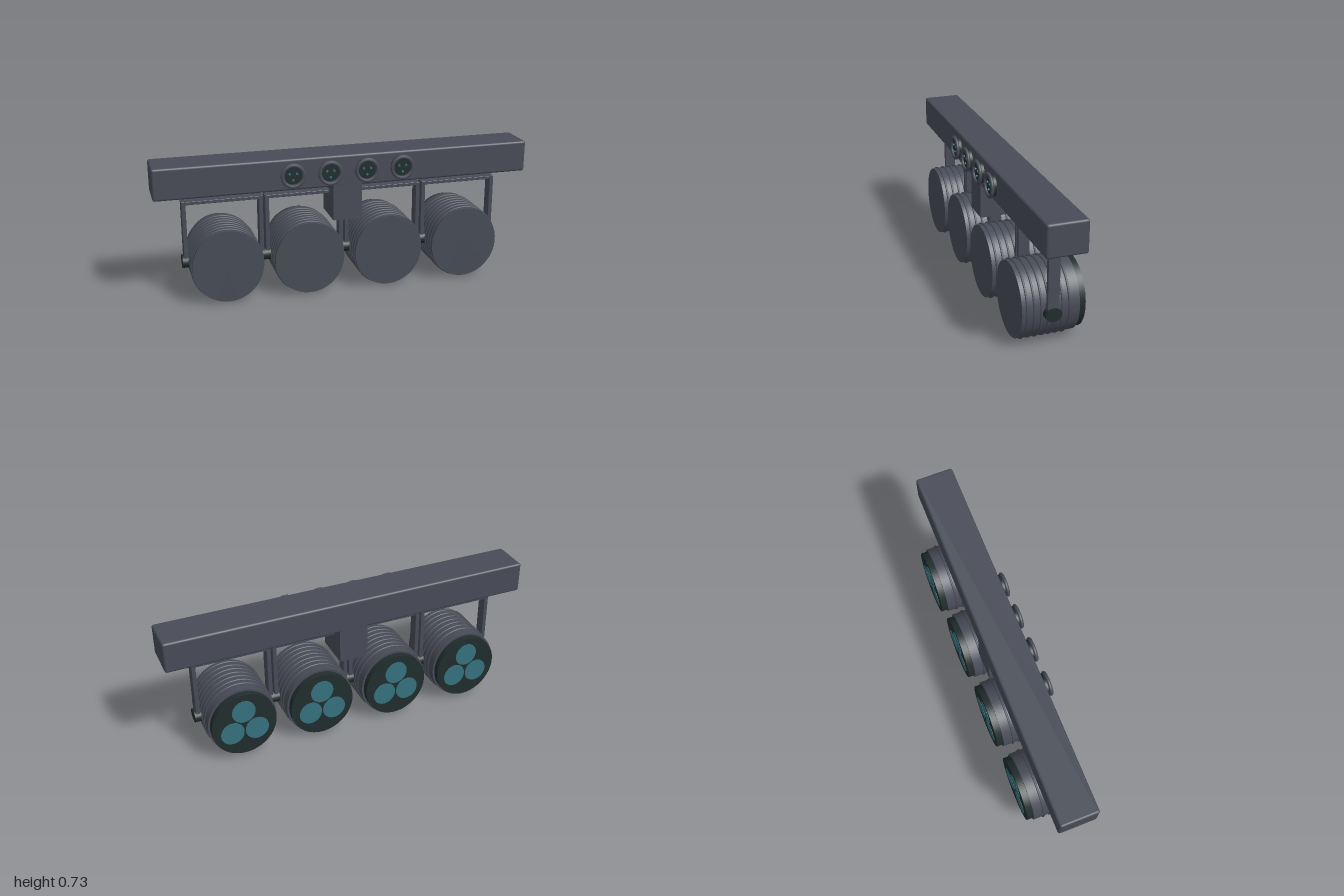
import * as THREE from 'three';
import { RoundedBoxGeometry } from 'three/addons/geometries/RoundedBoxGeometry.js';

export function createModel() {
  const model = new THREE.Group();
  model.name = 'stageLightBar';

  const mat = (name, color) => {
    const m = new THREE.MeshStandardMaterial({ color });
    m.name = name;
    return m;
  };
  const housing = mat('slate housing', 0x484c57);
  const dark = mat('dark trim', 0x212d2d);
  const glass = mat('teal lens', 0x35727e);

  const add = (parent, name, geometry, material, x = 0, y = 0, z = 0) => {
    const mesh = new THREE.Mesh(geometry, material);
    mesh.name = name;
    mesh.position.set(x, y, z);
    parent.add(mesh);
    return mesh;
  };
  // Cylinder lying along z
  const disc = (r, depth, seg = 48) => new THREE.CylinderGeometry(r, r, depth, seg).rotateX(Math.PI / 2);

  // Crossbar and central mounting block
  add(model, 'crossbar', new RoundedBoxGeometry(2, 0.167, 0.206, 3, 0.012), housing, 0, 0.652, 0.017);
  add(model, 'mountBlock', new THREE.BoxGeometry(0.156, 0.2, 0.205), housing, 0, 0.485, 0.017);

  // Sockets on the front of the crossbar
  for (const x of [-0.294, -0.098, 0.098, 0.29]) {
    const socket = new THREE.Group();
    socket.name = 'socket';
    socket.position.set(x, 0.653, 0.12);
    model.add(socket);
    add(socket, 'socketNeck', disc(0.058, 0.026, 32), dark, 0, 0, 0.009);
    const rim = [[0.046, 0.015], [0.06, 0.015], [0.065, 0.019], [0.066, 0.024], [0.065, 0.029],
      [0.06, 0.033], [0.052, 0.033], [0.047, 0.029], [0.046, 0.015]];
    add(socket, 'socketRim', new THREE.LatheGeometry(rim.map(([r, h]) => new THREE.Vector2(r, h)), 32)
      .rotateX(Math.PI / 2), housing).material.side = THREE.DoubleSide;
    for (const a of [Math.PI / 6, (5 * Math.PI) / 6, -Math.PI / 2]) {
      add(socket, 'socketPin', disc(0.006, 0.008, 12), glass, 0.022 * Math.cos(a), 0.022 * Math.sin(a), 0.025);
    }
  }

  // U-shaped yoke outline, open at the bottom
  const outline = new THREE.Shape([[-0.208, 0.2], [-0.19, 0.2], [-0.19, 0.515], [0.19, 0.515], [0.19, 0.2],
    [0.208, 0.2], [0.208, 0.529], [-0.208, 0.529]].map(([x, y]) => new THREE.Vector2(x, y)));
  const yokeGeometry = new THREE.ExtrudeGeometry(outline, {
    depth: 0.053, bevelThickness: 0.003, bevelSize: 0.002, bevelSegments: 2,
  });

  // Four lamps hanging in their yokes
  for (const x of [-0.645, -0.215, 0.215, 0.645]) {
    const lamp = new THREE.Group();
    lamp.name = 'lamp';
    lamp.position.x = x;
    model.add(lamp);

    add(lamp, 'yoke', yokeGeometry, housing, 0, 0, -0.009);
    for (const side of [-1, 1]) {
      const knob = add(lamp, 'pivotKnob', new THREE.CylinderGeometry(0.042, 0.042, 0.05, 24)
        .rotateZ(Math.PI / 2), dark, side * 0.194, 0.202, 0.018);
      knob.scale.y = 0.82;
    }

    const can = new THREE.Group();
    can.name = 'lampCan';
    can.position.y = 0.203;
    can.scale.x = 0.955;
    lamp.add(can);
    add(can, 'canBody', disc(0.193, 0.291, 64), housing, 0, 0, 0.0175);
    // Cooling ribs
    for (let i = 0; i < 7; i++) {
      add(can, 'coolingRib', new THREE.TorusGeometry(0.1945, 0.0055, 8, 64), housing, 0, 0, 0.138 - i * 0.0353);
    }
    // Lens holder and three lenses at the back
    add(can, 'lensHolder', disc(0.182, 0.04, 64), dark, 0, 0, -0.142);
    for (let i = 0; i < 3; i++) {
      const a = Math.PI / 2 + (i * 2 * Math.PI) / 3;
      add(can, 'lens', disc(0.066, 0.004, 32), glass, 0.08 * Math.cos(a), 0.08 * Math.sin(a), -0.1615);
    }
  }
  return model;
}
